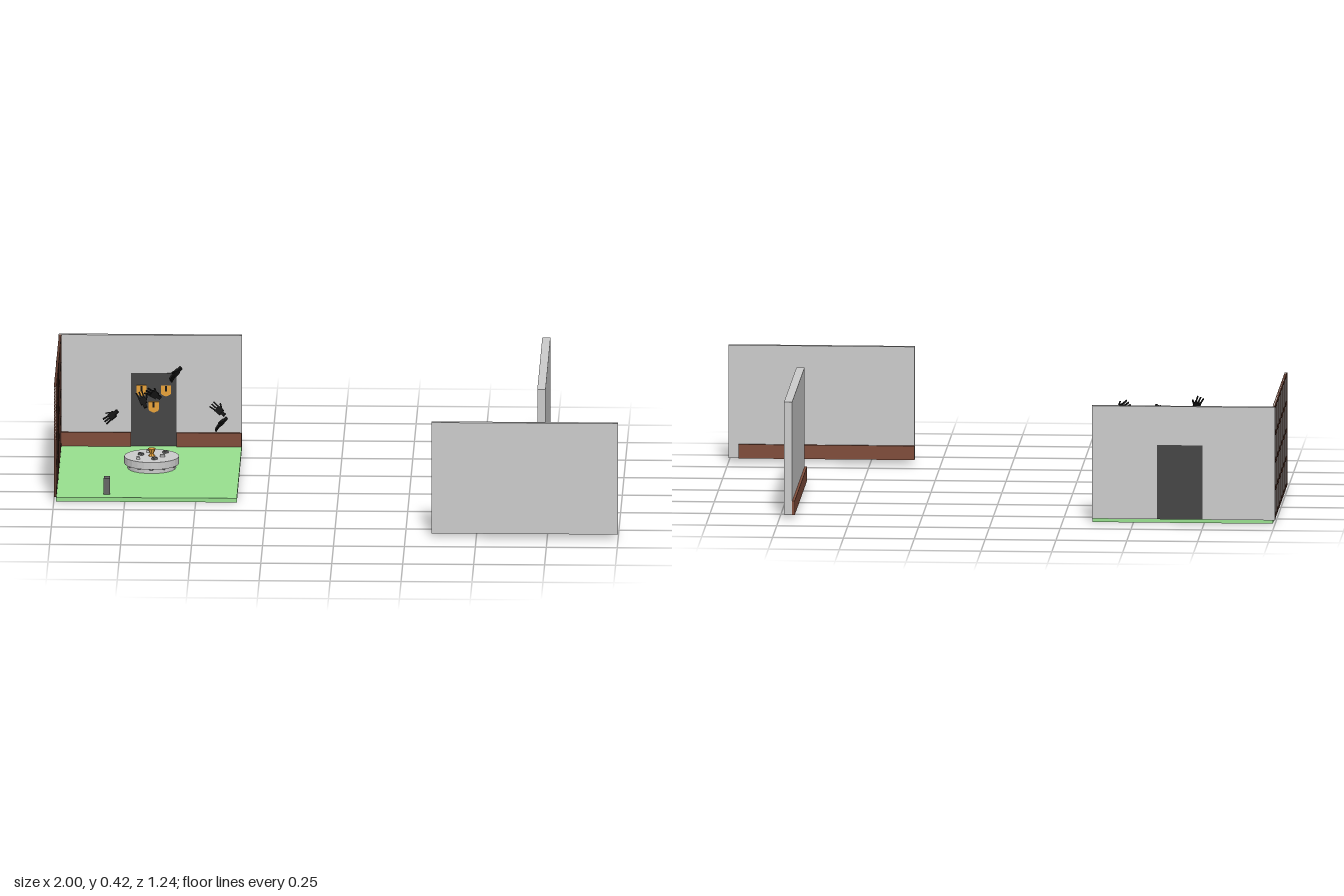
import * as THREE from 'three';

const mat = (color) => new THREE.MeshStandardMaterial({ color, flatShading: true });
const GREY = mat(0xcccccc), GREEN = mat(0x98e08f), BROWN = mat(0x804d3b), DARK_BROWN = mat(0x5a382c);
const DOOR = mat(0x464646), BLACK = mat(0x151515), GOLD = mat(0xe8a23a), POST = mat(0x666666);

function add(parent, name, geometry, material, x = 0, y = 0, z = 0) {
  const mesh = new THREE.Mesh(geometry, material);
  mesh.name = name;
  mesh.position.set(x, y, z);
  parent.add(mesh);
  return mesh;
}

// Box given by its lower and upper corner
function span(parent, name, material, [x0, y0, z0], [x1, y1, z1]) {
  return add(parent, name, new THREE.BoxGeometry(x1 - x0, y1 - y0, z1 - z0), material,
    (x0 + x1) / 2, (y0 + y1) / 2, (z0 + z1) / 2);
}

// Small open hand, fingers along +y, turned towards a direction
function hand(parent, position, direction) {
  const g = new THREE.Group();
  g.name = 'hand';
  add(g, 'palm', new THREE.BoxGeometry(0.024, 0.024, 0.01), BLACK);
  add(g, 'wrist', new THREE.BoxGeometry(0.013, 0.016, 0.009), BLACK, 0, -0.019, 0);
  for (let i = 0; i < 3; i++) {
    const finger = add(g, 'finger', new THREE.BoxGeometry(0.005, 0.026, 0.006), BLACK, (i - 1) * 0.0095, 0.022, 0.003);
    finger.rotation.set(0.25, 0, (1 - i) * 0.12);
  }
  const thumb = add(g, 'thumb', new THREE.BoxGeometry(0.005, 0.02, 0.006), BLACK, 0.016, 0.005, 0.002);
  thumb.rotation.z = -0.6;
  g.position.set(...position);
  g.quaternion.setFromUnitVectors(new THREE.Vector3(0, 1, 0), new THREE.Vector3(...direction).normalize());
  parent.add(g);
}

export function createModel() {
  const model = new THREE.Group();
  model.name = 'explodedRoom';
  const floorY = 0.015, top = 0.418, skirtTop = 0.065;

  // Floor
  span(model, 'floor', GREEN, [-0.992, 0, -0.603], [-0.355, floorY, 0.135]);

  // Back wall with doorway: two sides and a lintel
  const back = new THREE.Group();
  back.name = 'backWall';
  model.add(back);
  const doorL = -0.745, doorR = -0.585, doorTop = 0.28;
  span(back, 'wallSide', GREY, [-1, floorY, -0.62], [doorL, top, -0.604]);
  span(back, 'wallSide', GREY, [doorR, floorY, -0.62], [-0.355, top, -0.604]);
  span(back, 'lintel', GREY, [doorL, doorTop, -0.62], [doorR, top, -0.604]);
  span(back, 'door', DOOR, [doorL, floorY, -0.62], [doorR, doorTop, -0.603]);
  span(back, 'baseboard', BROWN, [-0.99, floorY, -0.604], [doorL, skirtTop, -0.595]);
  span(back, 'baseboard', BROWN, [doorR, floorY, -0.604], [-0.355, skirtTop, -0.595]);

  // Three shield plates with a dark slot on the door
  const shield = new THREE.Shape();
  shield.moveTo(-0.018, 0.019);
  shield.lineTo(0.018, 0.019);
  shield.lineTo(0.018, -0.008);
  shield.quadraticCurveTo(0.016, -0.016, 0, -0.02);
  shield.quadraticCurveTo(-0.016, -0.016, -0.018, -0.008);
  const shieldGeo = new THREE.ExtrudeGeometry(shield, { depth: 0.005, bevelEnabled: false, curveSegments: 4 });
  for (const [x, y] of [[-0.708, 0.217], [-0.622, 0.217], [-0.665, 0.158]]) {
    add(back, 'shieldPlate', shieldGeo, GOLD, x, y, -0.603);
    add(back, 'slot', new THREE.BoxGeometry(0.007, 0.02, 0.003), BLACK, x, y + 0.008, -0.598);
  }

  // Window wall: pane with a lattice of bars, 6 columns by 4 rows
  const win = new THREE.Group();
  win.name = 'windowWall';
  model.add(win);
  const z0 = -0.603, z1 = 0.135, bar = 0.005;
  span(win, 'pane', GREY, [-0.997, floorY, z0], [-0.993, top, z1]);
  for (let i = 0; i <= 6; i++) {
    const z = THREE.MathUtils.lerp(z0 + bar, z1 - bar, i / 6);
    span(win, 'uprightBar', DARK_BROWN, [-1, floorY, z - bar], [-0.99, top, z + bar]);
  }
  for (let i = 0; i <= 4; i++) {
    const y = THREE.MathUtils.lerp(floorY + bar, top - bar, i / 4);
    span(win, 'crossBar', DARK_BROWN, [-0.9995, y - bar, z0], [-0.9905, y + bar, z1]);
  }

  // Detached right and front walls, baseboards on the inner faces
  span(model, 'rightWall', GREY, [0.704, floorY + 0.001, -0.603], [0.733, top, 0.137]);
  span(model, 'rightBaseboard', BROWN, [0.695, floorY, -0.603], [0.704, skirtTop, 0.137]);
  span(model, 'frontWall', GREY, [0.343, floorY, 0.603], [1, top, 0.62]);
  span(model, 'frontBaseboard', BROWN, [0.343, floorY, 0.594], [0.965, skirtTop, 0.603]);

  // Round stone table with a scalloped lower rim
  const table = new THREE.Group();
  table.name = 'roundTable';
  table.position.set(-0.665, 0, -0.295);
  model.add(table);
  add(table, 'tableTop', new THREE.CylinderGeometry(0.097, 0.097, 0.026, 24), GREY, 0, 0.045, 0);
  add(table, 'tableBase', new THREE.CylinderGeometry(0.085, 0.085, 0.018, 24), GREY, 0, 0.024, 0);
  for (let i = 0; i < 12; i++) {
    const a = (i / 12) * Math.PI * 2;
    add(table, 'rimStone', new THREE.IcosahedronGeometry(0.012, 0), GREY, Math.cos(a) * 0.083, 0.036, Math.sin(a) * 0.083);
  }
  // Gold cup and loose pieces on the table
  add(table, 'cup', new THREE.CylinderGeometry(0.014, 0.008, 0.016, 8), GOLD, 0, 0.077, 0);
  add(table, 'cupFoot', new THREE.CylinderGeometry(0.005, 0.012, 0.012, 8), GOLD, 0, 0.064, 0);
  for (let i = 0; i < 6; i++) {
    const a = i * 1.05 + 0.3, r = 0.04 + 0.012 * (i % 3);
    const piece = add(table, 'loosePiece', new THREE.BoxGeometry(0.018, 0.008, 0.012), i % 2 ? POST : GREY,
      Math.cos(a) * r, 0.062, Math.sin(a) * r);
    piece.rotation.y = i * 0.8;
  }

  // Small post near the window wall
  span(model, 'post', POST, [-0.825, floorY, 0.053], [-0.803, 0.073, 0.09]);

  // Floating hands: position, finger direction
  const hands = [
    [[-0.58, 0.355, -0.315], [-0.7, -0.65, 0.4]],
    [[-0.803, 0.215, -0.25], [-0.7, -0.7, -0.2]],
    [[-0.655, 0.295, -0.24], [-0.8, 0.5, 0.2]],
    [[-0.69, 0.325, -0.03], [-0.4, 0.8, -0.5]],
    [[-0.42, 0.305, 0.022], [-0.8, 0.55, -0.5]],
    [[-0.42, 0.172, -0.325], [-0.7, -0.5, 0.55]],
  ];
  for (const [p, d] of hands) hand(model, p, d);

  return model;
}
